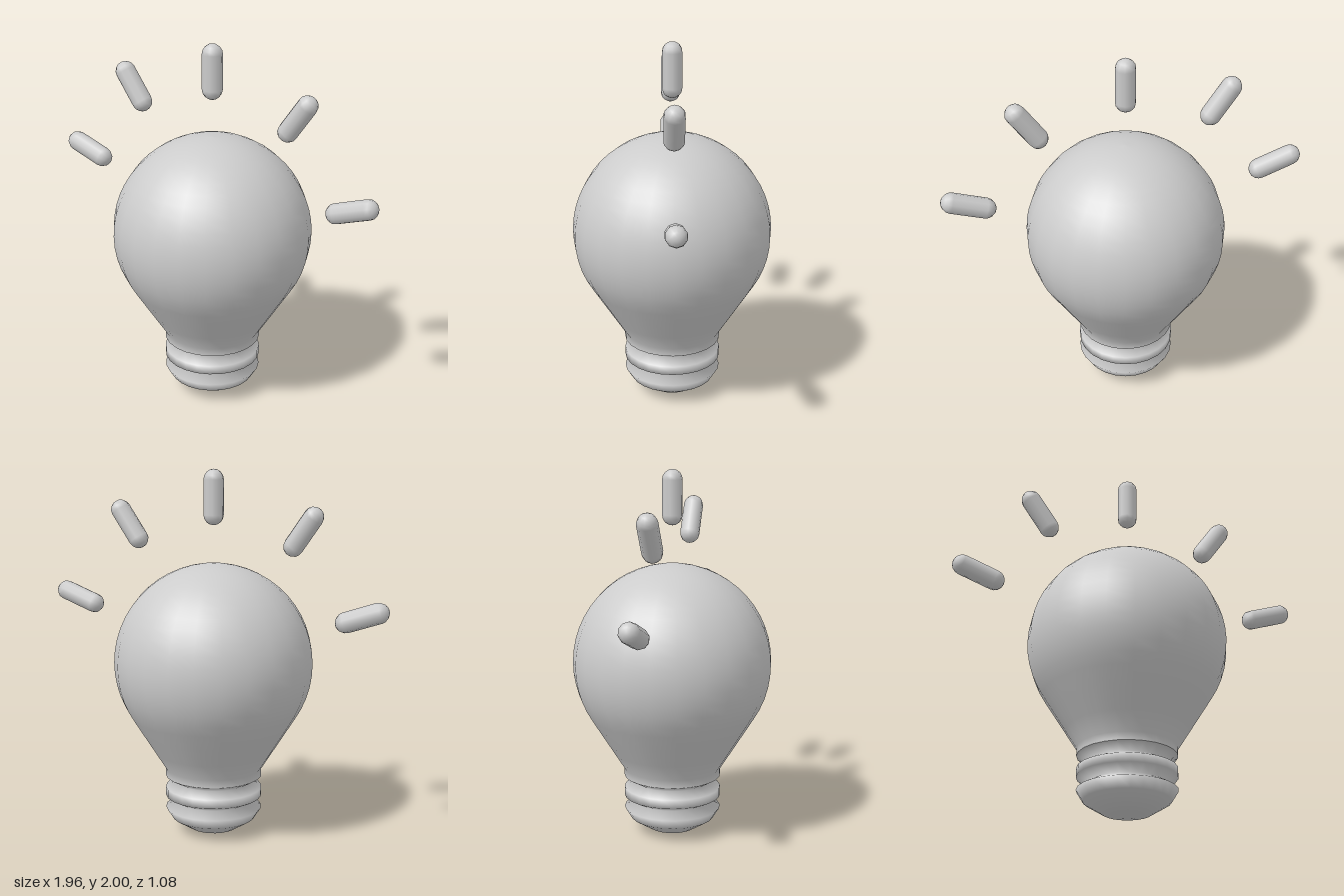
import * as THREE from 'three';

const material = new THREE.MeshStandardMaterial({ color: 0xcccccc, side: THREE.DoubleSide });

function addMesh(parent, name, geometry) {
  const mesh = new THREE.Mesh(geometry, material);
  mesh.name = name;
  parent.add(mesh);
  return mesh;
}

function lathe(points) {
  return new THREE.LatheGeometry(points.map(([r, y]) => new THREE.Vector2(r, y)), 24);
}

export function createModel() {
  const model = new THREE.Group();
  model.name = 'lightBulb';

  // Glass: neck tapering out into a spherical dome
  const radius = 0.54, centerY = 0.96, startAngle = 2.16, steps = 18;
  const glass = [[0.265, 0.325], [0.265, 0.368], [0.325, 0.463], [0.388, 0.563]];
  for (let i = 0; i <= steps; i++) {
    const a = startAngle * (1 - i / steps);
    glass.push([radius * Math.sin(a), centerY + radius * Math.cos(a)]);
  }
  addMesh(model, 'glass', lathe(glass));

  // Screw base: rounded tip and two grooves
  addMesh(model, 'screwBase', lathe([
    [0, 0.005], [0.06, 0.01], [0.13, 0.023], [0.23, 0.085], [0.265, 0.142],
    [0.2, 0.177], [0.265, 0.21], [0.265, 0.258], [0.2, 0.288], [0.265, 0.325],
  ]));

  // Rays: capsules fanned around the dome; tilt is measured from vertical
  const rays = new THREE.Group();
  rays.name = 'rays';
  model.add(rays);
  const rayGeometry = new THREE.CapsuleGeometry(0.055, 0.187, 4, 10);
  const addRay = (name, x, y, tilt) => {
    const ray = addMesh(rays, name, rayGeometry);
    ray.position.set(x, y, 0);
    ray.rotation.z = -tilt;
  };
  addRay('topRay', 0, 1.852, 0);
  for (const [side, s] of [['left', 1], ['right', -1]]) {
    addRay(side + 'UpperRay', s * 0.512, 1.69, s * 0.611);
    addRay(side + 'LowerRay', s * 0.838, 1.265, s * 1.235);
  }
  return model;
}
